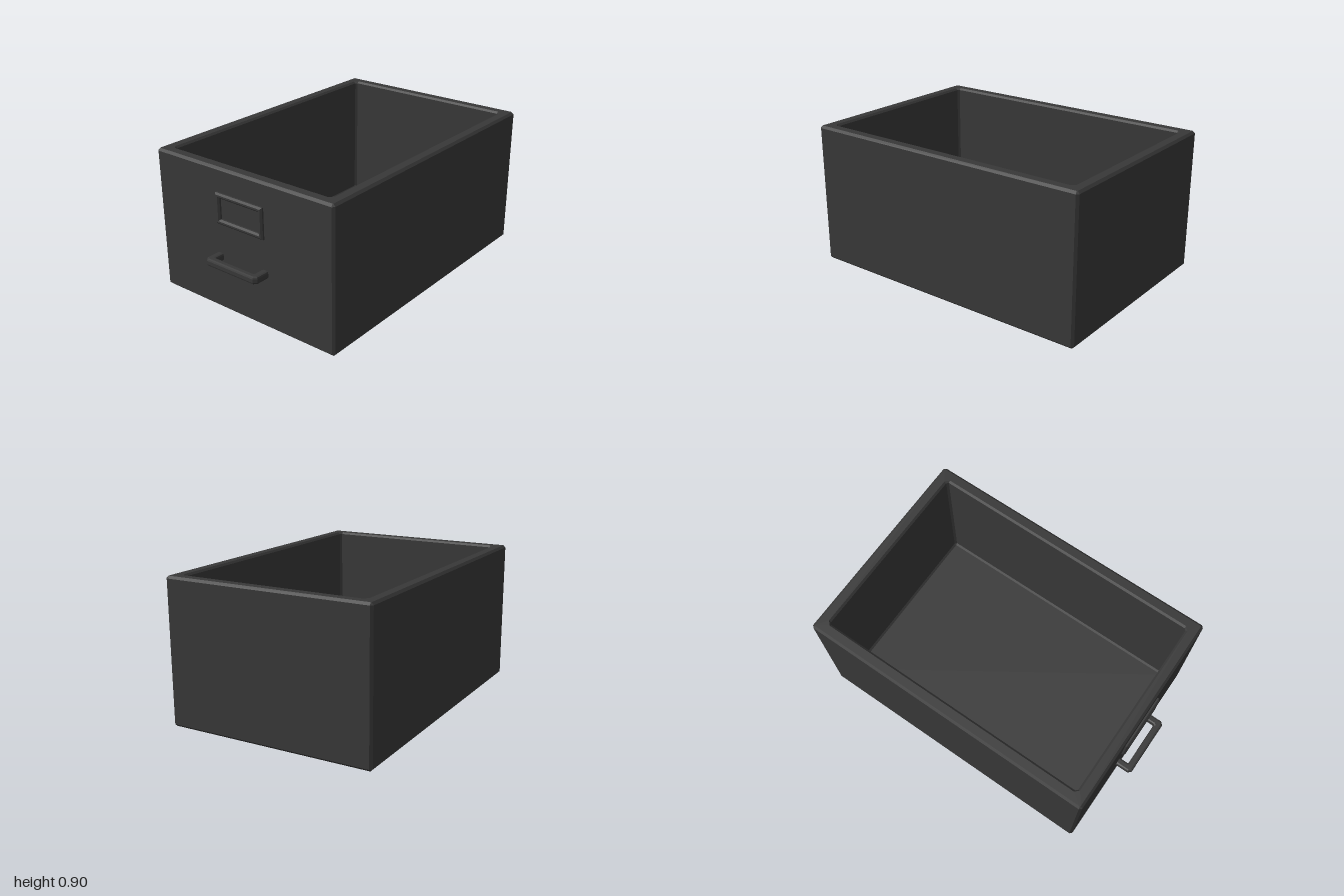
import * as THREE from 'three';

const material = new THREE.MeshStandardMaterial({ color: 0x383838, flatShading: true });

// Open box as a loft of chamfered rectangles: up the outside, over the rim, down to the floor.
function trayGeometry() {
  const hx = 0.66, hz = 0.9475;
  // inset from the outer wall, height, corner cut
  const rings = [
    [0.014, 0, 0.002], [0, 0.014, 0.014], [0, 0.886, 0.014], [0.014, 0.9, 0.004],
    [0.064, 0.9, 0.024], [0.076, 0.888, 0.012], [0.076, 0.08, 0.012], [0.088, 0.068, 0.002],
  ];
  const positions = [], index = [];
  for (const [inset, y, c] of rings) {
    const x = hx - inset, z = hz - inset;
    const outline = [
      [x, z - c], [x, c - z], [x - c, -z], [c - x, -z],
      [-x, c - z], [-x, z - c], [c - x, z], [x - c, z],
    ];
    for (const [px, pz] of outline) positions.push(px, y, pz);
  }
  for (let k = 0; k < rings.length - 1; k++) {
    for (let j = 0; j < 8; j++) {
      const a = k * 8 + j, b = k * 8 + ((j + 1) % 8);
      index.push(a, b, b + 8, a, b + 8, a + 8);
    }
  }
  // underside and inner floor
  const top = (rings.length - 1) * 8;
  for (let j = 1; j < 7; j++) {
    index.push(0, j + 1, j);
    index.push(top, top + j, top + j + 1);
  }
  const geometry = new THREE.BufferGeometry();
  geometry.setAttribute('position', new THREE.Float32BufferAttribute(positions, 3));
  geometry.setIndex(index);
  const flat = geometry.toNonIndexed();
  flat.computeVertexNormals();
  return flat;
}

function rectangle(path, x, y) {
  path.moveTo(-x, -y);
  path.lineTo(x, -y);
  path.lineTo(x, y);
  path.lineTo(-x, y);
  path.closePath();
  return path;
}

function addMesh(group, name, geometry, x, y, z) {
  const mesh = new THREE.Mesh(geometry, material);
  mesh.name = name;
  mesh.position.set(x, y, z);
  group.add(mesh);
  return mesh;
}

export function createModel() {
  const group = new THREE.Group();
  group.name = 'drawer';

  addMesh(group, 'drawerBox', trayGeometry(), 0, 0, -0.0525);

  // Label holder: bevelled frame on the front panel
  const bevel = 0.01;
  const frame = rectangle(new THREE.Shape(), 0.177 - bevel, 0.096 - bevel);
  frame.holes.push(rectangle(new THREE.Path(), 0.146 + bevel, 0.065 + bevel));
  const frameGeometry = new THREE.ExtrudeGeometry(frame, {
    depth: 0.02, bevelEnabled: true, bevelSize: bevel, bevelThickness: bevel, bevelSegments: 1,
  });
  addMesh(group, 'labelFrame', frameGeometry, 0, 0.657, 0.885);

  // Pull handle: U-shaped bar lying flat, its ends passing just through the panel
  const b = 0.012, outer = 0.196 - b, inner = 0.15 + b;
  const front = 1 - b, back = 0.955 + b, end = 0.807 + b, cut = 0.012;
  const bar = new THREE.Shape();
  bar.moveTo(-outer, -end);
  bar.lineTo(-outer, cut - front);
  bar.lineTo(cut - outer, -front);
  bar.lineTo(outer - cut, -front);
  bar.lineTo(outer, cut - front);
  bar.lineTo(outer, -end);
  bar.lineTo(inner, -end);
  bar.lineTo(inner, cut - back);
  bar.lineTo(inner - cut, -back);
  bar.lineTo(cut - inner, -back);
  bar.lineTo(-inner, cut - back);
  bar.lineTo(-inner, -end);
  bar.closePath();
  const barGeometry = new THREE.ExtrudeGeometry(bar, {
    depth: 0.046 - 2 * b, bevelEnabled: true, bevelSize: b, bevelThickness: b, bevelSegments: 2,
  });
  barGeometry.rotateX(-Math.PI / 2);
  addMesh(group, 'pullHandle', barGeometry, 0, 0.325 + b, 0);

  return group;
}
